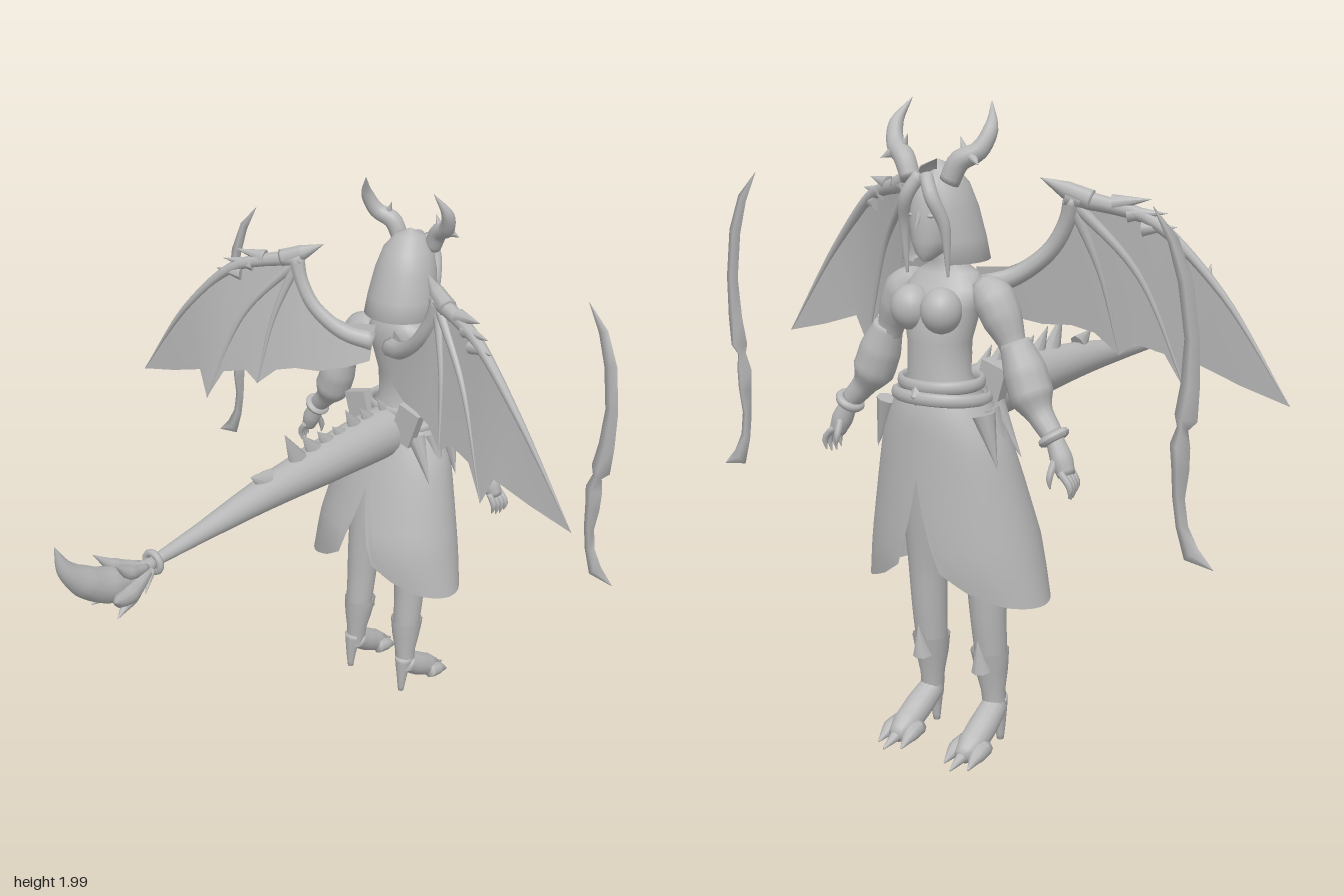
import * as THREE from 'three';

const V = (x, y, z) => new THREE.Vector3(x, y, z);

// Surface through rows of points; wrap joins last column to the first.
function skin(rows, wrap = true) {
  const n = rows[0].length, idx = [], cols = wrap ? n : n - 1;
  for (let i = 0; i < rows.length - 1; i++) for (let j = 0; j < cols; j++) {
    const a = i * n + j, b = i * n + (j + 1) % n;
    idx.push(a, b, a + n, b, b + n, a + n);
  }
  const g = new THREE.BufferGeometry().setFromPoints(rows.flat());
  g.setIndex(idx);
  g.computeVertexNormals();
  return g;
}

// Upright stack of ellipses: [y, centreX, centreZ, radiusX, radiusZ], bottom to top.
function stack(rings, n = 24) {
  return skin(rings.map(([y, cx, cz, rx, rz]) => Array.from({ length: n }, (_, j) => {
    const a = j / n * Math.PI * 2;
    return V(cx + rx * Math.cos(a), y, cz - rz * Math.sin(a));
  })));
}

// Tapered tube through [x, y, z, radius], closed at both ends.
function taper(pts, seg = 16, n = 12) {
  const curve = new THREE.CatmullRomCurve3(pts.map(p => V(p[0], p[1], p[2])));
  const f = curve.computeFrenetFrames(seg), rows = [];
  for (let i = 0; i <= seg; i++) {
    const u = i / seg, t = curve.getUtoTmapping(u) * (pts.length - 1);
    const k = Math.min(Math.floor(t), pts.length - 2);
    const r = THREE.MathUtils.lerp(pts[k][3], pts[k + 1][3], t - k), c = curve.getPointAt(u);
    const ring = q => Array.from({ length: n }, (_, j) => {
      const a = j / n * Math.PI * 2;
      return c.clone().addScaledVector(f.normals[i], q * Math.cos(a)).addScaledVector(f.binormals[i], q * Math.sin(a));
    });
    if (i === 0) rows.push(ring(0));
    rows.push(ring(r));
    if (i === seg) rows.push(ring(0));
  }
  return skin(rows);
}

// Cone from base to tip, optionally squashed across x.
function spike(a, b, r, flat = 1, n = 8) {
  const p = V(...a), q = V(...b), d = q.clone().sub(p);
  const g = new THREE.ConeGeometry(r, d.length(), n);
  g.scale(flat, 1, 1);
  g.applyQuaternion(new THREE.Quaternion().setFromUnitVectors(V(0, 1, 0), d.normalize()));
  return g.translate(...p.add(q).multiplyScalar(0.5).toArray());
}

function ball(x, y, z, rx, ry, rz) {
  return new THREE.SphereGeometry(1, 20, 14).scale(rx, ry, rz).translate(x, y, z);
}

function mirrored(geo) {
  const g = geo.clone().scale(-1, 1, 1), ix = g.index.array;
  for (let i = 0; i < ix.length; i += 3) [ix[i], ix[i + 1]] = [ix[i + 1], ix[i]];
  g.computeVertexNormals();
  return g;
}

function table(t, x) {
  let k = 0;
  while (k < t.length - 2 && x > t[k + 1][0]) k++;
  const [a, b] = [t[k], t[k + 1]];
  return a[1] + (b[1] - a[1]) * THREE.MathUtils.clamp((x - a[0]) / (b[0] - a[0]), 0, 1);
}

export function createModel() {
  const grey = new THREE.MeshStandardMaterial({ color: 0xb8b8b8, side: THREE.DoubleSide });
  grey.name = 'plainGrey';
  const model = new THREE.Group();
  const add = (name, geo) => {
    const m = new THREE.Mesh(geo, grey);
    m.name = name;
    model.add(m);
  };
  const pair = (name, geo) => { add(name + 'Left', geo); add(name + 'Right', mirrored(geo)); };

  // Torso and neck
  add('torso', stack([[0.95, 0, -0.74, 0.15, 0.11], [1.05, 0, -0.745, 0.16, 0.12], [1.13, 0, -0.75, 0.135, 0.11],
    [1.2, 0, -0.765, 0.1, 0.085], [1.3, 0, -0.76, 0.1, 0.09], [1.4, 0, -0.745, 0.125, 0.1], [1.46, 0, -0.72, 0.135, 0.08],
    [1.5, 0, -0.71, 0.1, 0.06], [1.53, 0, -0.71, 0.045, 0.045], [1.62, 0, -0.73, 0.038, 0.038]]));
  pair('bust', ball(0.055, 1.4, -0.82, 0.062, 0.068, 0.062));

  // Head, nose and hood
  add('head', stack([[1.54, 0, -0.81, 0.008, 0.02], [1.565, 0, -0.795, 0.04, 0.05], [1.6, 0, -0.78, 0.06, 0.07],
    [1.66, 0, -0.765, 0.073, 0.085], [1.72, 0, -0.755, 0.076, 0.088], [1.77, 0, -0.75, 0.06, 0.07], [1.8, 0, -0.75, 0.01, 0.01]]));
  add('nose', spike([0, 1.68, -0.84], [0, 1.635, -0.865], 0.012));
  pair('eye', ball(0.03, 1.675, -0.83, 0.016, 0.008, 0.012));
  const hood = new THREE.LatheGeometry([[0.1, 1.53], [0.128, 1.535], [0.122, 1.6], [0.108, 1.69], [0.088, 1.76],
    [0.05, 1.81], [0.001, 1.83]].map(p => new THREE.Vector2(...p)), 32, Math.PI + 0.62, Math.PI * 2 - 1.24);
  const hp = hood.attributes.position;
  for (let i = 0; i < hp.count; i++) hp.setZ(i, hp.getZ(i) - 0.715 - (hp.getY(i) - 1.53) * 0.13);
  hood.computeVertexNormals();
  add('hood', hood);
  pair('fringe', taper([[0.01, 1.79, -0.82, 0.02], [0.045, 1.73, -0.84, 0.022], [0.072, 1.65, -0.82, 0.018], [0.075, 1.5, -0.81, 0.004]]));

  // Branching horns
  pair('horn', taper([[0.07, 1.77, -0.79, 0.03], [0.1, 1.83, -0.78, 0.032], [0.15, 1.86, -0.755, 0.028], [0.172, 1.92, -0.725, 0.022], [0.145, 1.995, -0.68, 0.001]], 20));
  pair('hornBranch', spike([0.12, 1.835, -0.77], [0.095, 1.9, -0.765], 0.02));
  pair('hornSpur', spike([0.13, 1.85, -0.77], [0.178, 1.825, -0.795], 0.025));

  // Arms, puffed sleeves, cuffs and hands
  pair('upperArm', taper([[0.11, 1.465, -0.71, 0.04], [0.16, 1.43, -0.71, 0.065], [0.195, 1.37, -0.71, 0.06], [0.225, 1.31, -0.71, 0.042], [0.25, 1.25, -0.71, 0.04]]));
  pair('sleeve', taper([[0.235, 1.31, -0.71, 0.045], [0.27, 1.23, -0.71, 0.065], [0.3, 1.155, -0.715, 0.066], [0.33, 1.11, -0.72, 0.04], [0.385, 1.05, -0.73, 0.032]], 20));
  const cuff = new THREE.TorusGeometry(0.035, 0.014, 8, 20).rotateX(Math.PI / 2).rotateZ(0.6).translate(0.385, 1.05, -0.73);
  pair('cuff', cuff);
  pair('palm', taper([[0.385, 1.05, -0.73, 0.026], [0.415, 0.99, -0.735, 0.034], [0.435, 0.945, -0.74, 0.026]], 8));
  for (let i = 0; i < 4; i++) {
    const z = -0.712 - i * 0.018;
    pair('finger', taper([[0.43, 0.96, z, 0.011], [0.452 + i * 0.004, 0.92, z, 0.011], [0.445 + i * 0.005, 0.875 + Math.abs(i - 1.5) * 0.008, z, 0.002]], 6, 6));
  }
  pair('thumb', taper([[0.405, 0.99, -0.755, 0.013], [0.402, 0.94, -0.78, 0.011], [0.405, 0.91, -0.78, 0.002]], 6, 6));

  // Split skirt: the hem rises to a slit at front and back
  const hem = [[0, 0.9], [0.1, 0.77], [0.25, 0.62], [0.5, 0.565], [0.8, 0.52], [1, 0.505]];
  const rx = [[0.5, 0.322], [0.7, 0.285], [0.9, 0.24], [1.0, 0.215], [1.15, 0.14]];
  const rz = [[0.5, 0.185], [0.62, 0.2], [0.7, 0.198], [0.9, 0.167], [1.08, 0.135], [1.15, 0.115]];
  const cz = [[0.5, -0.69], [0.7, -0.698], [0.9, -0.722], [1.1, -0.75]];
  add('skirt', skin(Array.from({ length: 15 }, (_, i) => Array.from({ length: 72 }, (_, j) => {
    const a = j / 72 * Math.PI * 2, low = table(hem, Math.abs(Math.cos(a)));
    const y = low + (1.15 - low) * i / 14;
    return V(table(rx, y) * Math.cos(a), y, table(cz, y) - table(rz, y) * Math.sin(a));
  }))));

  // Belts, buckle and hip plates
  [[1.175, 0], [1.13, 0.12]].forEach(([y, tilt]) => add('belt', new THREE.TorusGeometry(1, 0.09, 8, 40)
    .rotateX(Math.PI / 2).scale(0.128 + tilt * 0.15, 0.22, 0.108 + tilt * 0.15).rotateX(tilt).translate(0, y, -0.755)));
  add('buckle', new THREE.OctahedronGeometry(0.03).scale(1, 1, 0.5).translate(0, 1.15, -0.88).toNonIndexed());
  pair('pouch', new THREE.BoxGeometry(0.09, 0.14, 0.04).rotateZ(-0.3).translate(0.105, 1.15, -0.645));
  for (let i = 0; i < 3; i++) pair('hipPlate', spike([0.13 + i * 0.025, 1.1, -0.67 - i * 0.06], [0.215 + i * 0.006, 0.94, -0.65 - i * 0.07], 0.035));

  // Legs, boots, heels and clawed feet
  pair('leg', taper([[0.085, 1.0, -0.74, 0.085], [0.1, 0.75, -0.715, 0.075], [0.112, 0.55, -0.7, 0.062], [0.115, 0.42, -0.695, 0.056], [0.117, 0.28, -0.685, 0.05], [0.12, 0.12, -0.68, 0.03]], 24, 16));
  pair('boot', stack([[0.1, 0.125, -0.68, 0.036, 0.036], [0.18, 0.12, -0.682, 0.038, 0.04], [0.25, 0.117, -0.685, 0.052, 0.052], [0.315, 0.115, -0.69, 0.061, 0.06]], 16));
  pair('bootPoint', spike([0.115, 0.26, -0.735], [0.115, 0.365, -0.755], 0.032));
  pair('heel', taper([[0.125, 0.15, -0.67, 0.035], [0.127, 0.07, -0.66, 0.02], [0.127, 0.002, -0.658, 0.011]], 8, 10));
  pair('foot', taper([[0.123, 0.13, -0.675, 0.04], [0.128, 0.085, -0.745, 0.046], [0.13, 0.045, -0.815, 0.044], [0.13, 0.025, -0.865, 0.025]], 12, 14));
  for (let i = -1; i < 2; i++) {
    const x = 0.13 + i * 0.035;
    pair('toe', taper([[x, 0.04, -0.79, 0.028], [x + i * 0.006, 0.032, -0.84, 0.026], [x + i * 0.01, 0.006, -0.922 + Math.abs(i) * 0.03, 0.003]], 8, 8));
  }

  // Wing membranes with finger bones
  const wz = [[0, -0.65], [0.1, -0.57], [0.25, -0.49], [0.45, -0.43], [0.6, -0.39], [1, -0.375]];
  const onWing = (x, y) => V(x, y, table(wz, x) + (1.45 - y) * 0.25 * Math.max(0, 0.9 - x));
  const top = [[0.04, 1.5], [0.12, 1.5], [0.2, 1.535], [0.28, 1.6], [0.29, 1.68], [0.3, 1.72], [0.42, 1.7], [0.53, 1.65], [0.62, 1.57], [0.73, 1.46], [0.85, 1.3], [0.96, 1.145]];
  const low = [[0.04, 1.37], [0.1, 1.345], [0.19, 1.32], [0.27, 1.32], [0.34, 1.3], [0.41, 1.235], [0.46, 1.275], [0.55, 1.25], [0.62, 1.13], [0.66, 1.23], [0.8, 1.185], [0.96, 1.145]];
  pair('wingMembrane', skin(top.map((t, i) => Array.from({ length: 9 }, (_, j) =>
    onWing(t[0] + (low[i][0] - t[0]) * j / 8, t[1] + (low[i][1] - t[1]) * j / 8))), false));
  const bone = (name, pts) => pair(name, taper(pts.map(([x, y, r]) => [...onWing(x, y).toArray(), r]), 20, 8));
  bone('wingArm', [[0.04, 1.44, 0.035], [0.13, 1.47, 0.03], [0.23, 1.55, 0.026], [0.285, 1.64, 0.025], [0.31, 1.715, 0.03]]);
  bone('wingEdge', [[0.29, 1.715, 0.03], [0.42, 1.69, 0.024], [0.53, 1.65, 0.02], [0.73, 1.46, 0.012], [0.96, 1.145, 0.001]]);
  bone('wingFinger', [[0.3, 1.71, 0.02], [0.48, 1.49, 0.011], [0.62, 1.13, 0.002]]);
  bone('wingFinger', [[0.3, 1.71, 0.02], [0.37, 1.49, 0.01], [0.41, 1.235, 0.002]]);
  bone('wingThumb', [[0.36, 1.705, 0.032], [0.29, 1.735, 0.027], [0.225, 1.77, 0.001]]);
  [[0.42, 1.7, 0.53, 1.715], [0.46, 1.67, 0.575, 1.675], [0.5, 1.63, 0.6, 1.635]].forEach(([a, b, c, d]) =>
    pair('wingFeather', spike(onWing(a, b).toArray(), onWing(c, d).toArray(), 0.026)));

  // Tail with a row of spines
  add('tail', taper([[0, 1.09, -0.68, 0.095], [0, 1.095, -0.5, 0.09], [0, 1.095, -0.3, 0.08], [0, 1.09, 0, 0.058], [0, 1.07, 0.3, 0.033], [0, 1.055, 0.53, 0.018]], 30, 18));
  [[-0.6, 1.235], [-0.5, 1.235], [-0.42, 1.255], [-0.35, 1.215], [-0.27, 1.225], [-0.19, 1.24], [-0.1, 1.275], [0.07, 1.18]].forEach(([z, y]) =>
    add('tailSpine', spike([0, 1.135, z - 0.08], [0, y, z], 0.045, 0.6)));

  // Tail ring and leafy tuft
  add('tailRing', new THREE.TorusGeometry(0.032, 0.012, 8, 20).translate(0, 1.055, 0.525));
  add('tuftCore', taper([[0, 1.055, 0.52, 0.018], [0, 1.045, 0.62, 0.04], [0, 1.06, 0.72, 0.06], [0, 1.12, 0.82, 0.05], [0, 1.19, 0.885, 0.028], [0, 1.28, 0.92, 0.001]], 24, 12));
  pair('tuftSideLeaf', taper([[0.02, 1.05, 0.56, 0.015], [0.06, 1.035, 0.68, 0.03], [0.085, 1.05, 0.75, 0.022], [0.12, 1.08, 0.8, 0.001]], 12, 8));
  pair('tuftLowLeaf', taper([[0.015, 1.04, 0.56, 0.015], [0.035, 1.0, 0.66, 0.026], [0.06, 0.97, 0.74, 0.001]], 10, 8));
  pair('tuftTopLeaf', taper([[0.015, 1.06, 0.57, 0.014], [0.035, 1.09, 0.66, 0.024], [0.05, 1.15, 0.73, 0.001]], 10, 8));
  pair('tuftBarb', spike([0.025, 1.05, 0.56], [0.06, 1.0, 0.62], 0.016));

  // Floating curved blades: [x, y, half width]
  const blade = [[0.722, 1.745, 0.001], [0.785, 1.66, 0.018], [0.825, 1.55, 0.024], [0.847, 1.4, 0.024], [0.843, 1.27, 0.03],
    [0.832, 1.18, 0.036], [0.822, 1.15, 0.018], [0.815, 1.1, 0.032], [0.817, 1.03, 0.028], [0.813, 0.95, 0.02],
    [0.825, 0.87, 0.02], [0.855, 0.795, 0.03], [0.925, 0.762, 0.001]];
  pair('blade', skin(blade.map(([x, y, w], i) => {
    const p = blade[Math.max(i - 1, 0)], q = blade[Math.min(i + 1, blade.length - 1)];
    const d = new THREE.Vector2(q[0] - p[0], q[1] - p[1]).normalize(), t = w * (y < 1.2 && y > 1 ? 0.7 : 0.35);
    return [V(x - d.y * w, y + d.x * w, -0.755), V(x, y, -0.755 - t), V(x + d.y * w, y - d.x * w, -0.755), V(x, y, -0.755 + t)];
  })));

  return model;
}
